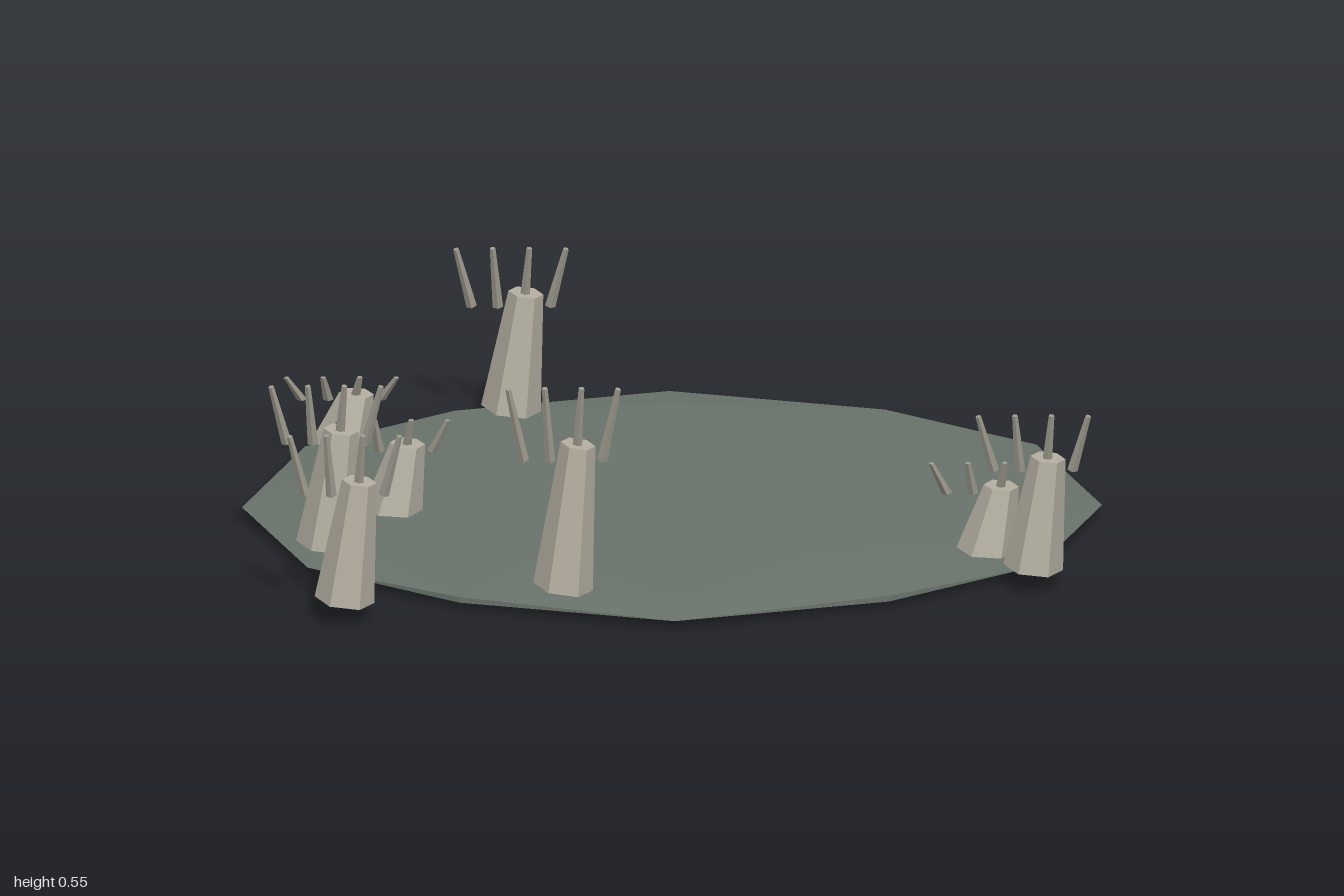
import * as THREE from 'three';

const stone = new THREE.MeshStandardMaterial({ color: 0x69736b, flatShading: true });
stone.name = 'mossy grey';
const bark = new THREE.MeshStandardMaterial({ color: 0xb5afa1, flatShading: true });
bark.name = 'pale bark';
const twig = new THREE.MeshStandardMaterial({ color: 0x9f9b8f, flatShading: true });
twig.name = 'grey twig';

const BASE_Y = 0.052; // height of the stump feet
const TRUNK_H = 0.29; // trunk height before stretching

// Hexagonal trunk with corners along x, leaning to +x from its foot
const trunkGeo = new THREE.CylinderGeometry(0.041, 0.07, TRUNK_H, 6)
  .rotateY(Math.PI / 6)
  .translate(0, TRUNK_H / 2, 0)
  .rotateZ(-0.12);
const branchGeo = new THREE.CylinderGeometry(0.007, 0.013, 0.158, 5);

// One dead stump: a trunk and four branches fanned out across x
function makeStump(x, z, height) {
  const stump = new THREE.Group();
  stump.name = 'stump';
  const trunk = new THREE.Mesh(trunkGeo, bark);
  trunk.name = 'trunk';
  stump.add(trunk);
  for (let i = 0; i < 4; i++) {
    const k = i - 1.5;
    const branch = new THREE.Mesh(branchGeo, twig);
    branch.name = 'branch';
    branch.position.set(k * 0.073, 0.331, 0.012);
    branch.rotation.set(0.18, 0, -k * 0.155);
    stump.add(branch);
  }
  stump.position.set(x, BASE_Y, z);
  stump.scale.y = height / TRUNK_H;
  return stump;
}

export function createModel() {
  const model = new THREE.Group();
  model.name = 'stumpClearing';

  // Flattened faceted ground slab
  const slab = new THREE.Mesh(new THREE.IcosahedronGeometry(1, 1), stone);
  slab.name = 'groundSlab';
  slab.scale.set(1, 0.023, 0.776);
  slab.position.y = 0.025;
  model.add(slab);

  // Stumps around the rim: x, z, trunk height
  const stumps = [
    [-0.767, 0.697, 0.295],
    [-0.258, 0.612, 0.355],
    [0.836, 0.49, 0.273],
    [0.728, 0.367, 0.158],
    [-0.807, 0.32, 0.284],
    [-0.65, 0.08, 0.161],
    [-0.766, -0.367, 0.12],
    [-0.37, -0.59, 0.288],
  ];
  for (const [x, z, h] of stumps) model.add(makeStump(x, z, h));
  return model;
}
